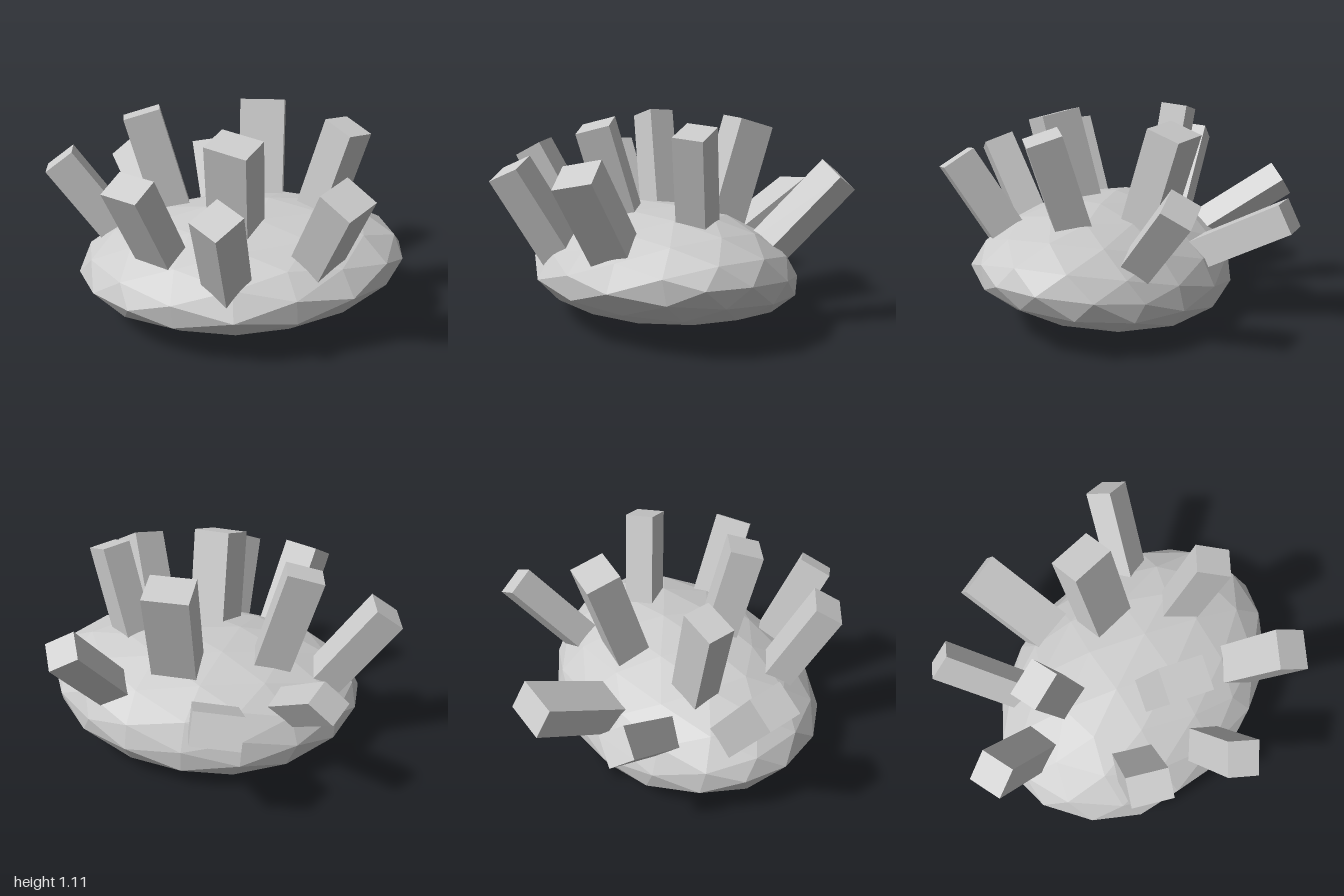
import * as THREE from 'three';

// tip: centre of the end cap, dir: axis from base to tip,
// side: direction of one cap edge, w / d: cap size along and across that edge
const SHARDS = [
  { name: 'frontShard', tip: [-0.135, 0.9, 0.91], dir: [-0.065, 0.43, 0.255], side: [0.2, 0.045, -0.015], w: 0.205, d: 0.185 },
  { name: 'frontRightShard', tip: [-0.692, 0.862, 0.635], dir: [-0.19, 0.435, 0.16], side: [0.175, 0.075, 0], w: 0.18, d: 0.17 },
  { name: 'rightShard', tip: [-0.845, 0.92, 0.167], dir: [-0.23, 0.44, 0.065], side: [0.13, 0.07, -0.03], w: 0.155, d: 0.215 },
  { name: 'backRightShard', tip: [-0.755, 0.85, -0.61], dir: [-0.205, 0.37, -0.17], side: [0.12, 0.11, 0.07], w: 0.175, d: 0.185 },
  { name: 'backShard', tip: [-0.095, 0.68, -0.935], dir: [0.085, 0.27, -0.41], side: [-0.085, -0.11, -0.08], w: 0.165, d: 0.14 },
  { name: 'backLeftShard', tip: [0.43, 0.62, -0.765], dir: [0.23, 0.23, -0.37], side: [-0.21, -0.03, -0.149], w: 0.247, d: 0.165 },
  { name: 'leftShard', tip: [0.855, 0.832, -0.035], dir: [0.31, 0.36, -0.11], side: [0.118, -0.075, 0.088], w: 0.165, d: 0.16 },
  { name: 'topLeftShard', tip: [0.313, 1.075, -0.163], dir: [0.1, 0.46, -0.1], side: [0.13, -0.055, -0.125], w: 0.19, d: 0.245 },
  { name: 'topFrontLeftShard', tip: [0.285, 1.075, 0.51], dir: [0.045, 0.49, 0.15], side: [0.17, -0.015, 0], w: 0.16, d: 0.185 },
  { name: 'topFrontRightShard', tip: [-0.345, 1.072, 0.348], dir: [-0.1, 0.485, 0.1], side: [0.165, 0.045, -0.055], w: 0.18, d: 0.235 },
  { name: 'topBackRightShard', tip: [-0.365, 1.08, -0.39], dir: [-0.085, 0.47, -0.105], side: [0.16, 0.055, 0.105], w: 0.2, d: 0.15 },
];
const SHARD_LENGTH = 0.7;

// A rectangular prism whose far cap sits at the tip; the base is sunk in the rock
function makeShard({ name, tip, dir, side, w, d }, material) {
  const y = new THREE.Vector3(...dir).normalize();
  const z = new THREE.Vector3(...side).cross(y).normalize();
  const x = new THREE.Vector3().crossVectors(y, z);
  const geometry = new THREE.BoxGeometry(w, SHARD_LENGTH, d).translate(0, -SHARD_LENGTH / 2, 0);
  const mesh = new THREE.Mesh(geometry, material);
  mesh.name = name;
  mesh.quaternion.setFromRotationMatrix(new THREE.Matrix4().makeBasis(x, y, z));
  mesh.position.set(...tip);
  return mesh;
}

// Flattened, faceted boulder, long on one diagonal and tilted a little
function makeRock(material) {
  const geometry = new THREE.IcosahedronGeometry(1.01, 2).rotateY(0.3);
  const position = geometry.attributes.position;
  // the top narrows, the underside leans to one side and the long flanks droop
  for (let i = 0; i < position.count; i++) {
    const y = position.getY(i);
    const z = position.getZ(i);
    const taper = 1 - 0.08 * Math.max(0, y);
    const lean = 0.2 * Math.min(0, y);
    position.setY(i, y - 0.2 * z * z);
    position.setZ(i, z * taper + lean);
  }
  geometry.scale(0.87, 0.315, 0.675);
  geometry.rotateX(-0.03).rotateZ(0.06).rotateY(-0.69);
  const mesh = new THREE.Mesh(geometry, material);
  mesh.name = 'rock';
  mesh.position.set(-0.09, 0.325, 0.11);
  return mesh;
}

export function createModel() {
  const model = new THREE.Group();
  model.name = 'crystalRock';
  const material = new THREE.MeshStandardMaterial({ color: 0xcccccc, flatShading: true });

  model.add(makeRock(material));

  const shards = new THREE.Group();
  shards.name = 'shards';
  for (const shard of SHARDS) shards.add(makeShard(shard, material));
  model.add(shards);

  return model;
}
